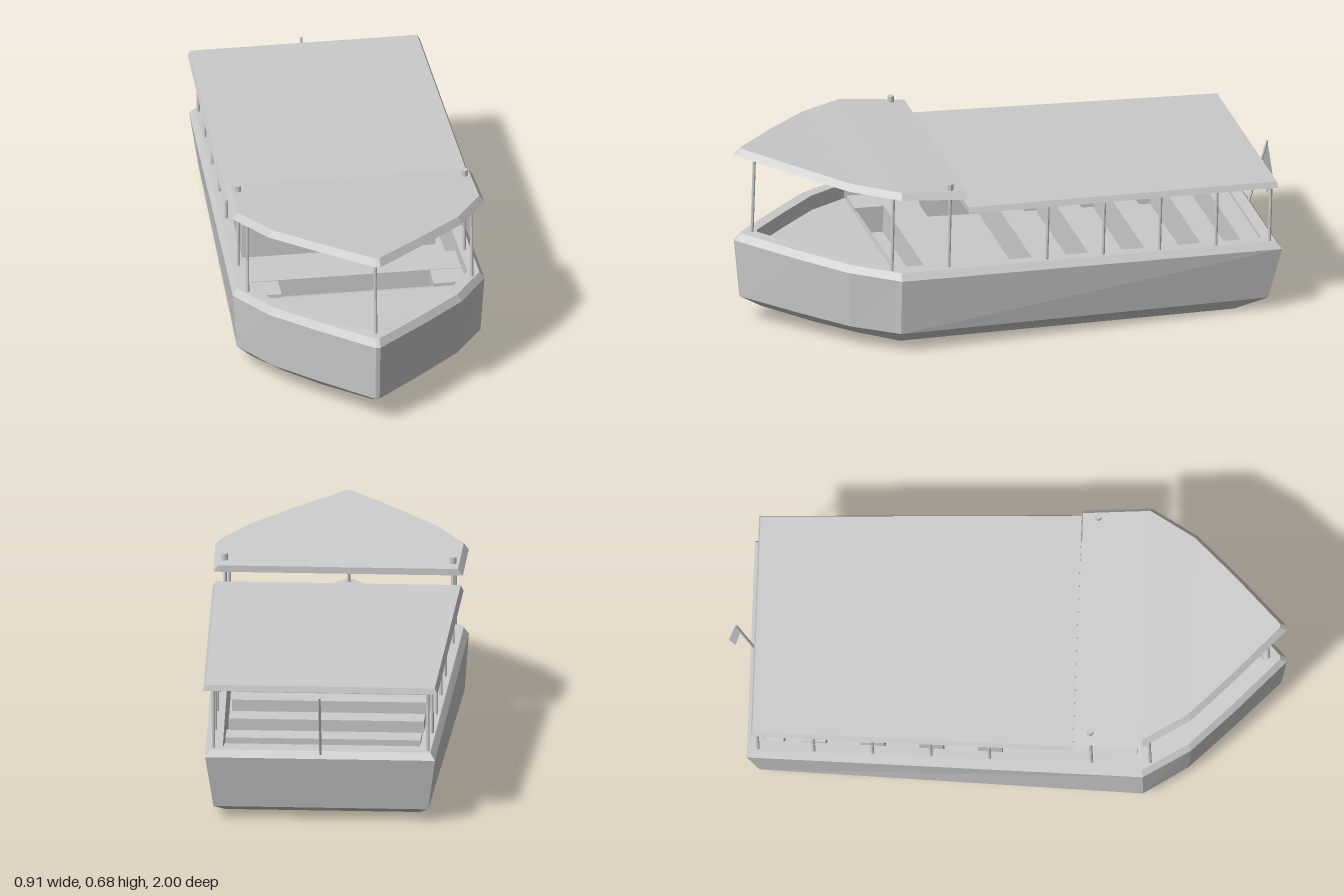
import * as THREE from 'three';

const mat = new THREE.MeshStandardMaterial({ color: 0xcccccc, flatShading: true });
const sheet = new THREE.MeshStandardMaterial({ color: 0xcccccc, flatShading: true, side: THREE.DoubleSide });

// Half outlines run from bow to stern as [x, y, z]
const GUNWALE = [[0.008, 0.32, 1], [0.2, 0.308, 0.82], [0.35, 0.299, 0.67], [0.455, 0.29, 0.5], [0.412, 0.24, -0.92]];
const CHINE = [[0.008, 0.1, 0.98], [0.195, 0.09, 0.8], [0.335, 0.084, 0.66], [0.44, 0.08, 0.5], [0.385, 0.045, -0.875]];
const KEEL = [[0.006, 0.053, 0.9], [0.17, 0.044, 0.75], [0.29, 0.037, 0.62], [0.385, 0.03, 0.49], [0.35, 0, -0.76]];
const CANOPY = [[0.008, 0.652, 1], [0.2, 0.634, 0.82], [0.35, 0.617, 0.67], [0.455, 0.605, 0.5], [0.447, 0.58, 0.255]];
const ROOF = [[0.45, 0.525, 0.25], [0.42, 0.484, -0.905]];

// Inset direction [x, z] for each station of a five-point outline
const INWARD = [[0, 1.4], [0.7, 0.7], [0.8, 0.6], [1, 0.2], [1, -1]];

function inset(half, d, dy, sternIn = 1) {
  return half.map(([x, y, z], i) => {
    const last = i === half.length - 1;
    const [wx, wz] = half.length === 5 ? INWARD[i] : [1, last ? -1 : 0];
    return [Math.max(x - d * wx, 0.004), y + dy, z - d * wz * (last ? sternIn : 1)];
  });
}

// Skin through mirrored outlines, with optional flat caps
function loft(halves, { bottom = false, top = false } = {}) {
  const rings = halves.map(h => [...h, ...h.slice().reverse().map(([x, y, z]) => [-x, y, z])]);
  const pos = [];
  const quad = (a, b, c, d) => pos.push(...a, ...b, ...c, ...a, ...c, ...d);
  const n = rings[0].length;
  for (let r = 0; r < rings.length - 1; r++)
    for (let i = 0; i < n; i++) {
      const j = (i + 1) % n;
      quad(rings[r][i], rings[r][j], rings[r + 1][j], rings[r + 1][i]);
    }
  const cap = (ring, up) => {
    for (let i = 0; i < n / 2 - 1; i++) {
      const q = [ring[i], ring[i + 1], ring[n - 2 - i], ring[n - 1 - i]];
      quad(...(up ? q : q.reverse()));
    }
  };
  if (bottom) cap(rings[0], false);
  if (top) cap(rings[rings.length - 1], true);
  const g = new THREE.BufferGeometry();
  g.setAttribute('position', new THREE.Float32BufferAttribute(pos, 3));
  g.computeVertexNormals();
  return g;
}

// Height along z on a half outline
function heightAt(half, z) {
  for (let i = 0; i < half.length - 1; i++) {
    const a = half[i], b = half[i + 1];
    if (z >= b[2]) return THREE.MathUtils.mapLinear(z, a[2], b[2], a[1], b[1]);
  }
  return half[half.length - 1][1];
}

export function createModel() {
  const boat = new THREE.Group();
  boat.name = 'tourBoat';
  const add = (name, geometry, material = mat) => {
    const m = new THREE.Mesh(geometry, material);
    m.name = name;
    boat.add(m);
    return m;
  };
  const rod = (name, a, b, r) => {
    const from = new THREE.Vector3(...a), to = new THREE.Vector3(...b);
    const dir = to.clone().sub(from);
    const m = add(name, new THREE.CylinderGeometry(r, r, dir.length(), 8));
    m.position.copy(from).add(to).multiplyScalar(0.5);
    m.quaternion.setFromUnitVectors(new THREE.Vector3(0, 1, 0), dir.normalize());
  };
  const box = (name, w, h, d, x, y, z) => {
    const m = add(name, new THREE.BoxGeometry(w, h, d));
    m.position.set(x, y, z);
    m.rotation.x = -0.035;
  };

  // Hull with bevelled rim, inner walls and floor
  add('hull', loft([
    KEEL, CHINE, GUNWALE,
    inset(GUNWALE, 0.018, 0.025), inset(GUNWALE, 0.06, 0.025), inset(GUNWALE, 0.065, -0.12),
  ], { bottom: true, top: true }));

  // Bow deck, closed by a step at its aft edge
  const deck = inset(GUNWALE, 0.058, -0.03);
  deck[4] = [0.395, 0.255, 0.47];
  add('bowDeck', loft([deck.map(([x, y, z]) => [x, y - 0.09, z]), deck], { top: true }));

  // Helm bench, side lockers and passenger benches
  box('helmBench', 0.78, 0.1, 0.13, 0, 0.215, 0.31);
  for (const s of [-1, 1]) box('sideLocker', 0.12, 0.1, 0.24, s * 0.335, 0.215, 0.36);
  for (const z of [-0.05, -0.26, -0.47, -0.68, -0.83]) {
    const y = heightAt(GUNWALE, z);
    box('passengerBench', 0.7, 0.13, 0.085, 0, y - 0.055, z);
  }

  // Roof shells, open underneath
  add('frontCanopy', loft([CANOPY, inset(CANOPY, 0.018, 0.024, 0)], { top: true }), sheet);
  add('rearRoof', loft([ROOF, inset(ROOF, 0.01, 0.021, 0.5)], { top: true }), sheet);

  // Roof posts
  rod('bowPost', [0, 0.33, 0.935], [0, 0.66, 0.925], 0.006);
  for (const s of [-1, 1]) {
    for (const z of [0.525, 0.315, -0.05, -0.26, -0.47, -0.68, -0.88]) {
      const x = s * (z > 0.5 ? 0.405 : 0.402 + 0.02 * z);
      const topY = heightAt(z > 0.25 ? CANOPY : ROOF, z) + 0.018;
      rod('roofPost', [x, heightAt(GUNWALE, z) + 0.02, z], [x, topY, z - 0.006], 0.006);
    }
    // Lamps on the canopy corners
    rod('canopyLamp', [s * 0.41, 0.6, 0.31], [s * 0.41, 0.633, 0.31], 0.012);
  }

  // Stern flag
  rod('flagPole', [0, 0.25, -0.905], [0, 0.484, -0.975], 0.005);
  const flag = new THREE.Shape([[0.976, 0.484], [0.998, 0.33], [0.974, 0.28], [0.957, 0.425]]
    .map(([u, v]) => new THREE.Vector2(u, v)));
  add('flag', new THREE.ShapeGeometry(flag), sheet).rotation.y = Math.PI / 2;
  return boat;
}
